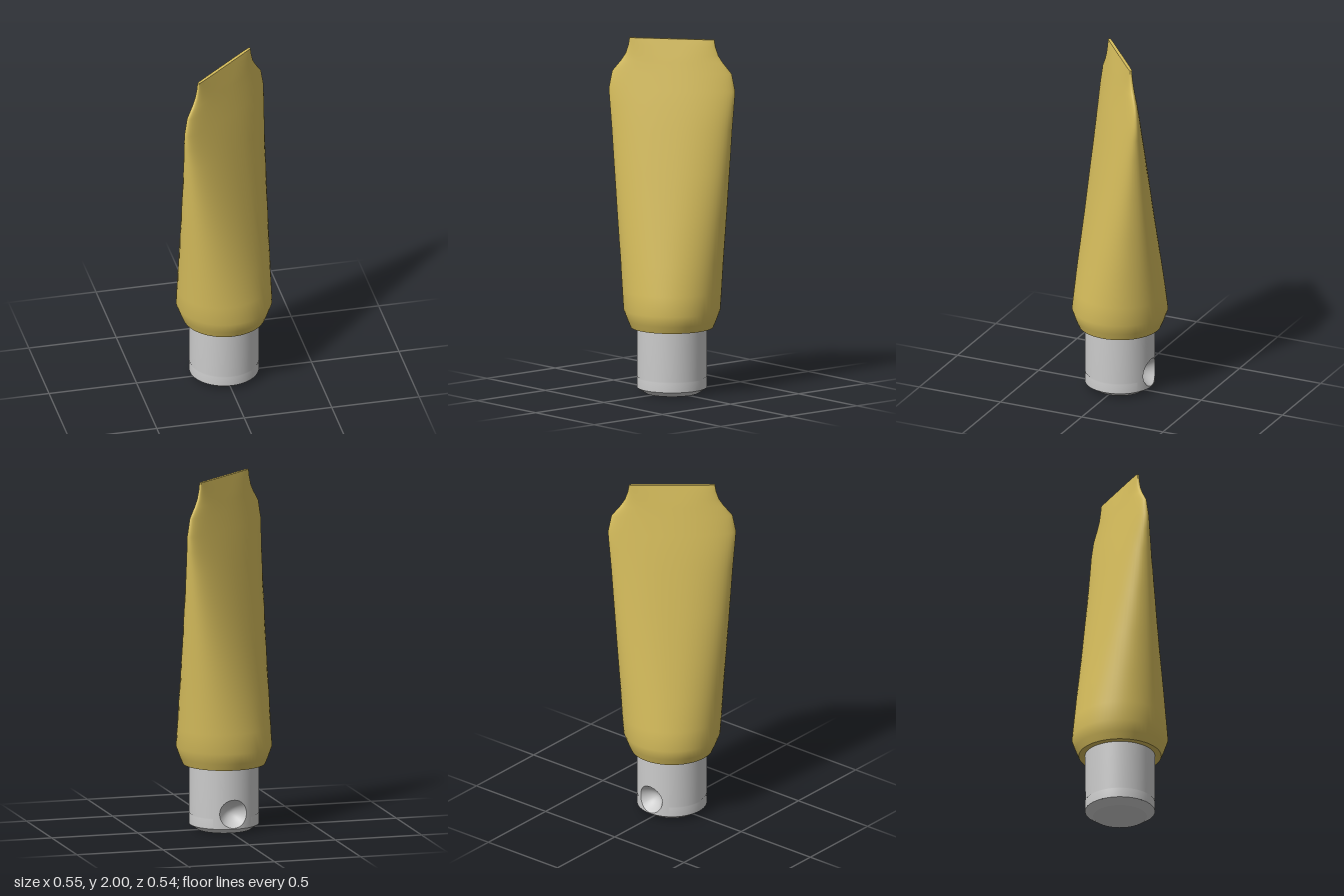
import * as THREE from 'three';
import { mergeVertices } from 'three/addons/utils/BufferGeometryUtils.js';
import { ParametricGeometry } from 'three/addons/geometries/ParametricGeometry.js';

const R = 0.195;               // shank radius
const ARC = 0.6;               // half angle of the wall panel holding the dimple
const LOW = 0.03, HIGH = 0.38; // wall panel heights
const HOLE_Y = 0.115, HOLE_R = 0.08;

// Blade sections: height, half width, half thickness, squareness
const SECTIONS = [
  [0.37, 0.23, 0.23, 2], [0.41, 0.247, 0.247, 2], [0.47, 0.27, 0.268, 2], [0.58, 0.278, 0.254, 2],
  [0.75, 0.288, 0.228, 2.1], [1.0, 0.306, 0.186, 2.2], [1.25, 0.323, 0.146, 2.25],
  [1.5, 0.34, 0.104, 2.2], [1.62, 0.35, 0.083, 2.1], [1.71, 0.357, 0.066, 2], [1.81, 0.337, 0.046, 2],
  [1.87, 0.288, 0.035, 2.2], [1.91, 0.262, 0.027, 2.6], [1.96, 0.246, 0.017, 3.5], [2.0, 0.24, 0.009, 6],
];

// Superellipse outline point
function outline([, w, t, n], angle) {
  const c = Math.cos(angle), s = Math.sin(angle);
  return [
    w * Math.sign(c) * Math.abs(c) ** (2 / n),
    t * Math.sign(s) * Math.abs(s) ** (2 / n),
  ];
}

// Parametric surface with welded seams and smooth normals
function surface(fn, nu, nv) {
  let geo = new ParametricGeometry(fn, nu, nv);
  geo.deleteAttribute('normal');
  geo.deleteAttribute('uv');
  geo = mergeVertices(geo, 1e-5);
  geo.computeVertexNormals();
  return geo;
}

// Point on the rear shank wall from arc length s and height y
const onWall = (s, y, target) => target.set(R * Math.sin(s / R), y, -R * Math.cos(s / R));

// Perimeter of the wall panel, counterclockwise from its lower right corner
function panelEdge(u) {
  const k = (u % 1) * 4, side = Math.floor(k), f = k - side, w = ARC * R;
  if (side === 0) return [w, LOW + (HIGH - LOW) * f];
  if (side === 1) return [w - 2 * w * f, HIGH];
  if (side === 2) return [-w, HIGH - (HIGH - LOW) * f];
  return [-w + 2 * w * f, LOW];
}

// Dimple rim point in the direction of the matching panel edge point
function rim(u) {
  const [s, y] = panelEdge(u);
  const a = Math.atan2(y - HOLE_Y, s);
  return [HOLE_R * Math.cos(a), HOLE_Y + HOLE_R * Math.sin(a)];
}

export function createModel() {
  const model = new THREE.Group();
  const yellow = new THREE.MeshStandardMaterial({ color: 0xd6bd5c });
  const grey = new THREE.MeshStandardMaterial({ color: 0xcccccc });
  const add = (parent, name, geo, mat) => {
    const mesh = new THREE.Mesh(geo, mat);
    mesh.name = name;
    parent.add(mesh);
    return mesh;
  };

  // Blade: round at the base, flattening to a thin, necked edge
  const blade = new THREE.Group();
  blade.name = 'blade';
  blade.rotation.y = THREE.MathUtils.degToRad(40);
  model.add(blade);
  const last = SECTIONS.length - 1;
  add(blade, 'bladeBody', surface((u, v, target) => {
    const section = SECTIONS[Math.min(last, Math.round(v * last))];
    const [x, z] = outline(section, u * Math.PI * 2);
    target.set(x, section[0], -z);
  }, 64, last), yellow);

  // Flat ends of the blade
  const cap = (name, section, up) => {
    const points = [];
    for (let i = 0; i < 64; i++) points.push(new THREE.Vector2(...outline(section, i / 64 * Math.PI * 2)));
    const mesh = add(blade, name, new THREE.ShapeGeometry(new THREE.Shape(points)), yellow);
    mesh.rotation.x = up ? -Math.PI / 2 : Math.PI / 2;
    mesh.position.y = section[0];
  };
  cap('bladeBase', SECTIONS[0], false);
  cap('bladeTip', SECTIONS[last], true);

  // Shank wall with a fine groove, open where the dimple panel sits
  const shank = new THREE.Group();
  shank.name = 'shank';
  model.add(shank);
  const v2 = (x, y) => new THREE.Vector2(x, y);
  add(shank, 'shankWall', new THREE.LatheGeometry(
    [v2(R, LOW), v2(R, 0.084), v2(R - 0.004, 0.088), v2(R, 0.092), v2(R, HIGH)],
    64, Math.PI + ARC, Math.PI * 2 - ARC * 2), grey);

  // Chamfered foot
  add(shank, 'shankFoot', new THREE.LatheGeometry(
    [v2(0, 0), v2(0.15, 0), v2(0.15, 0), v2(R, LOW)], 64), grey);

  // Rear panel around the dimple
  add(shank, 'dimplePanel', surface((u, v, target) => {
    const [s0, y0] = rim(u), [s1, y1] = panelEdge(u);
    onWall(s0 + (s1 - s0) * v, y0 + (y1 - y0) * v, target);
  }, 64, 8), grey);

  // Rounded dimple floor
  add(shank, 'dimple', surface((u, v, target) => {
    const [s, y] = rim(u);
    onWall(s, y, target);
    const floor = -0.125;
    target.set(target.x * v, HOLE_Y + (y - HOLE_Y) * v, floor + (target.z - floor) * v * v);
  }, 64, 10), grey);

  return model;
}
